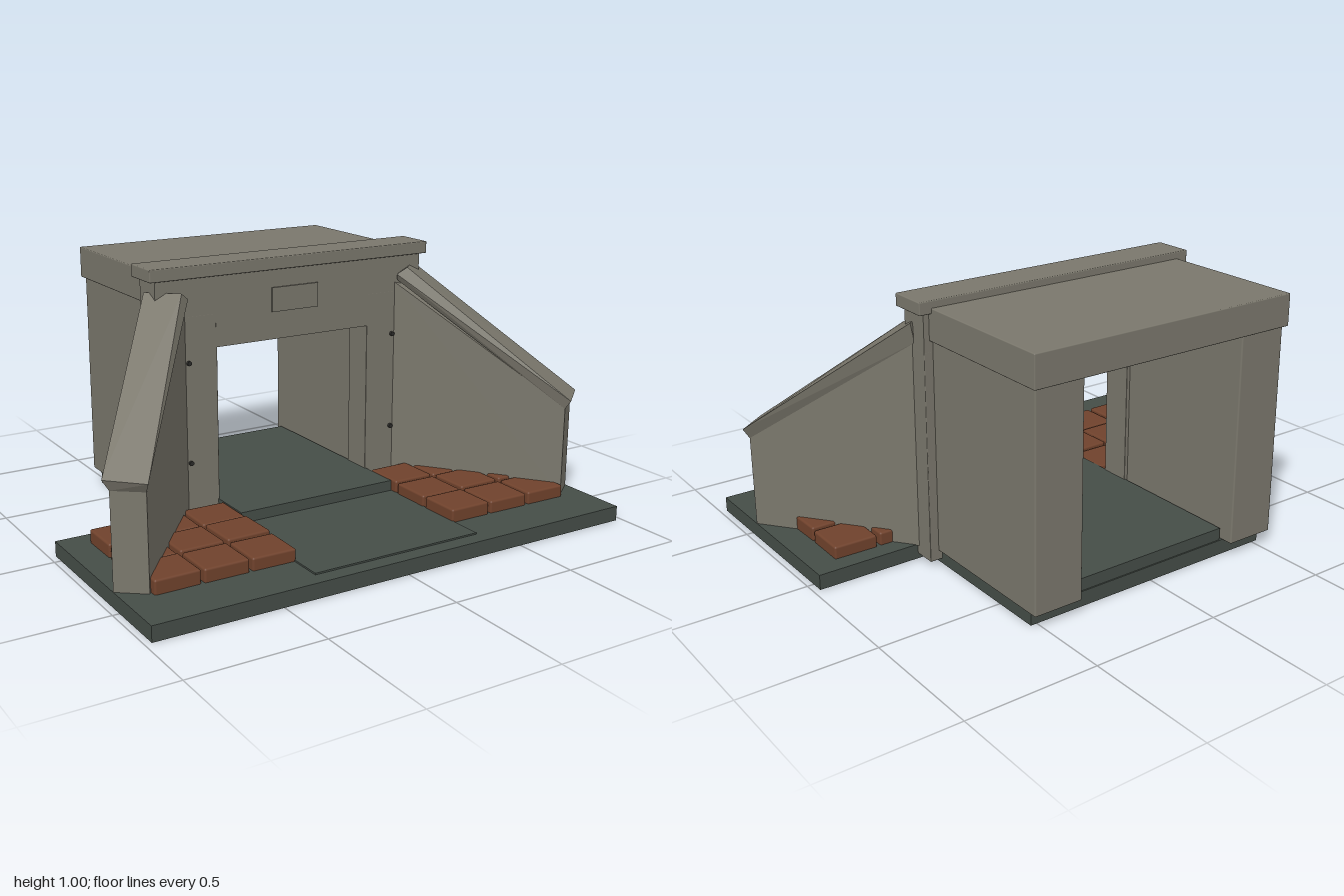
import * as THREE from 'three';
import { RoundedBoxGeometry } from 'three/addons/geometries/RoundedBoxGeometry.js';
import { ConvexGeometry } from 'three/addons/geometries/ConvexGeometry.js';

const material = (name, color) => {
  const m = new THREE.MeshStandardMaterial({ color });
  m.name = name;
  return m;
};

export function createModel() {
  const model = new THREE.Group();
  model.name = 'culvertPortal';
  const concrete = material('concrete', 0x7a776c);
  const slab = material('darkSlab', 0x454d47);
  const brick = material('brick', 0x70422c);
  const iron = material('iron', 0x2b2b29);

  const add = (name, geometry, mat, parent = model) => {
    const mesh = new THREE.Mesh(geometry, mat);
    mesh.name = name;
    parent.add(mesh);
    return mesh;
  };
  // Box given by its limits on each axis, optionally with softened edges
  const box = (name, mat, [x0, x1], [y0, y1], [z0, z1], r = 0, parent = model) => {
    const size = [x1 - x0, y1 - y0, z1 - z0];
    const g = r ? new RoundedBoxGeometry(...size, 2, r) : new THREE.BoxGeometry(...size);
    const mesh = add(name, g, mat, parent);
    mesh.position.set((x0 + x1) / 2, (y0 + y1) / 2, (z0 + z1) / 2);
    return mesh;
  };
  const span = (s, a, b) => (s > 0 ? [a, b] : [-b, -a]);
  // Convex solid from corner points, mirrored in x by s
  const solid = (name, s, corners, parent) =>
    add(name, new ConvexGeometry(corners.map(([x, y, z]) => new THREE.Vector3(s * x, y, z))), concrete, parent);

  // Ground slabs, channel floor and apron panel
  box('frontSlab', slab, [-0.975, 0.975], [0, 0.057], [-0.05, 0.74]);
  box('rearSlab', slab, [-0.525, 0.525], [0, 0.057], [-0.68, -0.05]);
  box('channelFloor', slab, [-0.335, 0.335], [0.05, 0.104], [-0.675, 0.16]);
  box('apronPanel', slab, [-0.345, 0.34], [0.05, 0.063], [0.16, 0.68]);

  // Chamber roof
  box('roof', concrete, [-0.553, 0.553], [0.855, 0.975], [-0.74, -0.13], 0.004);

  // Headwall: lintel, cap and plaque
  box('header', concrete, [-0.575, 0.575], [0.815, 0.958], [-0.137, -0.015]);
  box('lintel', concrete, [-0.335, 0.335], [0.69, 0.82], [-0.137, -0.015]);
  box('cap', concrete, [-0.6, 0.6], [0.955, 1.002], [-0.155, 0], 0.004);
  box('plaque', concrete, [-0.1, 0.1], [0.795, 0.887], [-0.016, -0.008]);

  for (const s of [1, -1]) {
    const side = new THREE.Group();
    side.name = s > 0 ? 'leftSide' : 'rightSide';
    model.add(side);

    box('chamberWall', concrete, span(s, 0.345, 0.54), [0.055, 0.865], [-0.725, -0.12], 0.006, side);
    box('pier', concrete, span(s, 0.33, 0.575), [0.02, 0.817], [-0.137, -0.0155], 0.003, side);

    // Splayed wing wall with a sloping top
    const plan = [[0.975, 0.455, 0.41], [0.88, 0.53, 0.41], [0.46, -0.015, 0.85], [0.575, -0.06, 0.85]];
    solid('wingWall', s, plan.flatMap(([x, z, top]) => [[x, 0.055, z], [x, top, z]]), side);

    // Coping that widens upwards, cut square to its slope
    solid('wingCoping', s, [
      [0.975, 0.405, 0.455], [0.88, 0.405, 0.53], [0.465, 0.86, -0.005], [0.572, 0.835, -0.07],
      [1.0, 0.445, 0.455], [0.885, 0.44, 0.555], [0.49, 0.912, 0.025], [0.59, 0.91, -0.075],
      [0.455, 0.885, 0.005],
    ], side);

    // Bolts beside the wing wall
    for (const y of [0.265, 0.645]) {
      const bolt = add('bolt', new THREE.CylinderGeometry(0.009, 0.009, 0.012, 10), iron, side);
      bolt.rotation.x = Math.PI / 2;
      bolt.position.set(s * 0.448, y, -0.011);
    }

    // Slightly uneven paving
    for (let i = 0; i < 3; i++) {
      for (let j = 0; j < 3; j++) {
        const wobble = Math.sin(i * 5.1 + j * 2.7 + s);
        const x = 0.336 + i * 0.183, z = 0.022 + j * 0.179;
        const tile = box('pavingTile', brick, span(s, x, x + 0.17),
          [0.05, 0.106 + 0.003 * wobble], [z, z + 0.167], 0.008, side);
        tile.rotation.y = 0.015 * wobble;
      }
    }
  }
  return model;
}
